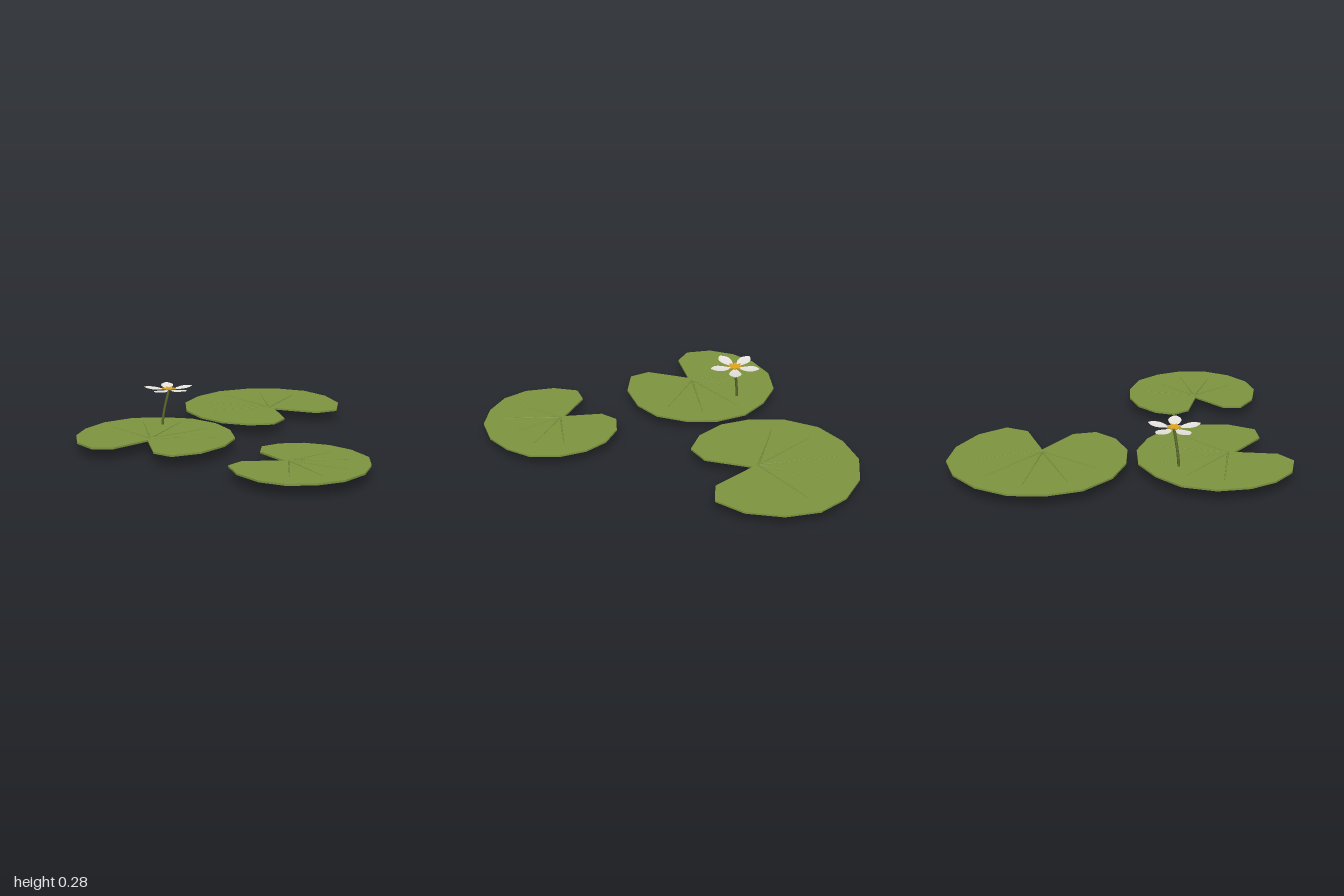
import * as THREE from 'three';

const flat = (name, color, side = THREE.FrontSide) => {
  const m = new THREE.MeshStandardMaterial({ color, side });
  m.name = name;
  return m;
};

const PAD_Y = 0.06, PAD_T = 0.01;

// Pad outlines in (x, z), starting at the inner corner of the notch.
// Vein directions fan out around "axis" (degrees, seen from above).
const PADS = [
  {
    name: 'backPad', centre: [0.41, -0.48], axis: 104, vein: 0.42,
    rim: [[0.425, -0.455], [0.613, -0.265], [0.743, -0.265], [0.835, -0.41], [0.857, -0.605], [0.808, -0.78],
      [0.687, -0.91], [0.515, -0.99], [0.325, -1], [0.152, -0.93], [0.013, -0.808], [-0.06, -0.62],
      [-0.05, -0.437], [0.013, -0.283], [0.13, -0.172], [0.267, -0.13], [0.369, -0.204]],
  },
  {
    name: 'flowerPad', centre: [-0.483, -0.11], axis: 43, vein: 0.39,
    rim: [[-0.508, -0.088], [-0.725, -0.02], [-0.827, -0.068], [-0.86, -0.203], [-0.82, -0.343], [-0.73, -0.46],
      [-0.588, -0.55], [-0.41, -0.577], [-0.245, -0.518], [-0.108, -0.417], [-0.032, -0.265], [-0.022, -0.095],
      [-0.07, 0.07], [-0.18, 0.182], [-0.345, 0.252], [-0.508, 0.245], [-0.567, 0.148]],
  },
  {
    name: 'frontPad', centre: [-0.018, 0.592], axis: -53, vein: 0.32,
    rim: [[-0.034, 0.573], [-0.235, 0.495], [-0.325, 0.535], [-0.346, 0.672], [-0.304, 0.826], [-0.214, 0.932],
      [-0.08, 0.99], [0.07, 0.998], [0.216, 0.937], [0.316, 0.832], [0.38, 0.7], [0.369, 0.542],
      [0.312, 0.414], [0.216, 0.319], [0.092, 0.274], [-0.018, 0.287], [-0.07, 0.372]],
  },
];

// One petal lying along +x: a strip widened by a rule and gently cupped
function petalGeometry(length, width) {
  const g = new THREE.PlaneGeometry(1, 1, 10, 4).rotateX(-Math.PI / 2);
  const p = g.attributes.position;
  for (let i = 0; i < p.count; i++) {
    const t = p.getX(i) + 0.5, s = p.getZ(i) * 2;
    const half = (width / 2) * Math.max(0.15, Math.sin(Math.PI * Math.pow(t, 1.5)) ** 0.7 || 0);
    p.setXYZ(i, 0.01 + t * length, 0.012 * t * t + 0.004 * s * s * (half / width), s * half);
  }
  g.computeVertexNormals();
  return g;
}

// Flat star of stamens
function starGeometry(points, outer, inner, depth) {
  const corners = Array.from({ length: points * 2 }, (_, i) => {
    const a = (i * Math.PI) / points, r = i % 2 ? inner : outer;
    return new THREE.Vector2(r * Math.cos(a), r * Math.sin(a));
  });
  return new THREE.ExtrudeGeometry(new THREE.Shape(corners), { depth, bevelEnabled: false }).rotateX(-Math.PI / 2);
}

export function createModel() {
  const leaf = flat('leaf green', 0x7d943f);
  const stemGreen = flat('stem green', 0x5f6b2e);
  const white = flat('petal white', 0xeeeae4, THREE.DoubleSide);
  const gold = flat('stamen gold', 0xe0a521);
  const root = new THREE.Group();
  root.name = 'waterLilies';

  const add = (parent, geometry, material, name) => {
    const mesh = new THREE.Mesh(geometry, material);
    mesh.name = name;
    parent.add(mesh);
    return mesh;
  };

  // Notched pads with five raised veins each
  for (const { name, centre, axis, vein, rim } of PADS) {
    const pad = new THREE.Group();
    pad.name = name;
    root.add(pad);
    const shape = new THREE.Shape(rim.map(([x, z]) => new THREE.Vector2(x, -z)));
    const blade = new THREE.ExtrudeGeometry(shape, { depth: PAD_T, bevelEnabled: false }).rotateX(-Math.PI / 2);
    add(pad, blade, leaf, 'blade').position.y = PAD_Y;
    for (let i = -2; i <= 2; i++) {
      const length = vein * (1 - 0.06 * Math.abs(i));
      const g = new THREE.CylinderGeometry(0.002, 0.005, length, 6);
      g.translate(0, length / 2, 0).rotateZ(-Math.PI / 2);
      const mesh = add(pad, g, leaf, 'vein');
      mesh.position.set(centre[0], PAD_Y + PAD_T, centre[1]);
      mesh.rotation.y = THREE.MathUtils.degToRad(axis + i * 32);
    }
  }

  // Curved flower stem
  const path = new THREE.CatmullRomCurve3([
    new THREE.Vector3(-0.315, 0, -0.37),
    new THREE.Vector3(-0.305, 0.13, -0.365),
    new THREE.Vector3(-0.277, 0.266, -0.352),
  ]);
  add(root, new THREE.TubeGeometry(path, 8, 0.007, 6), stemGreen, 'stem');

  // Flower: five petals around a flat golden star
  const flower = new THREE.Group();
  flower.name = 'flower';
  flower.position.set(-0.277, 0.268, -0.352);
  root.add(flower);
  const petal = petalGeometry(0.129, 0.068);
  for (let i = 0; i < 5; i++) {
    add(flower, petal, white, 'petal').rotation.y = (i * 2 * Math.PI) / 5 + 0.03;
  }
  add(flower, starGeometry(8, 0.042, 0.024, 0.005), gold, 'stamens').position.y = 0.004;
  return root;
}
